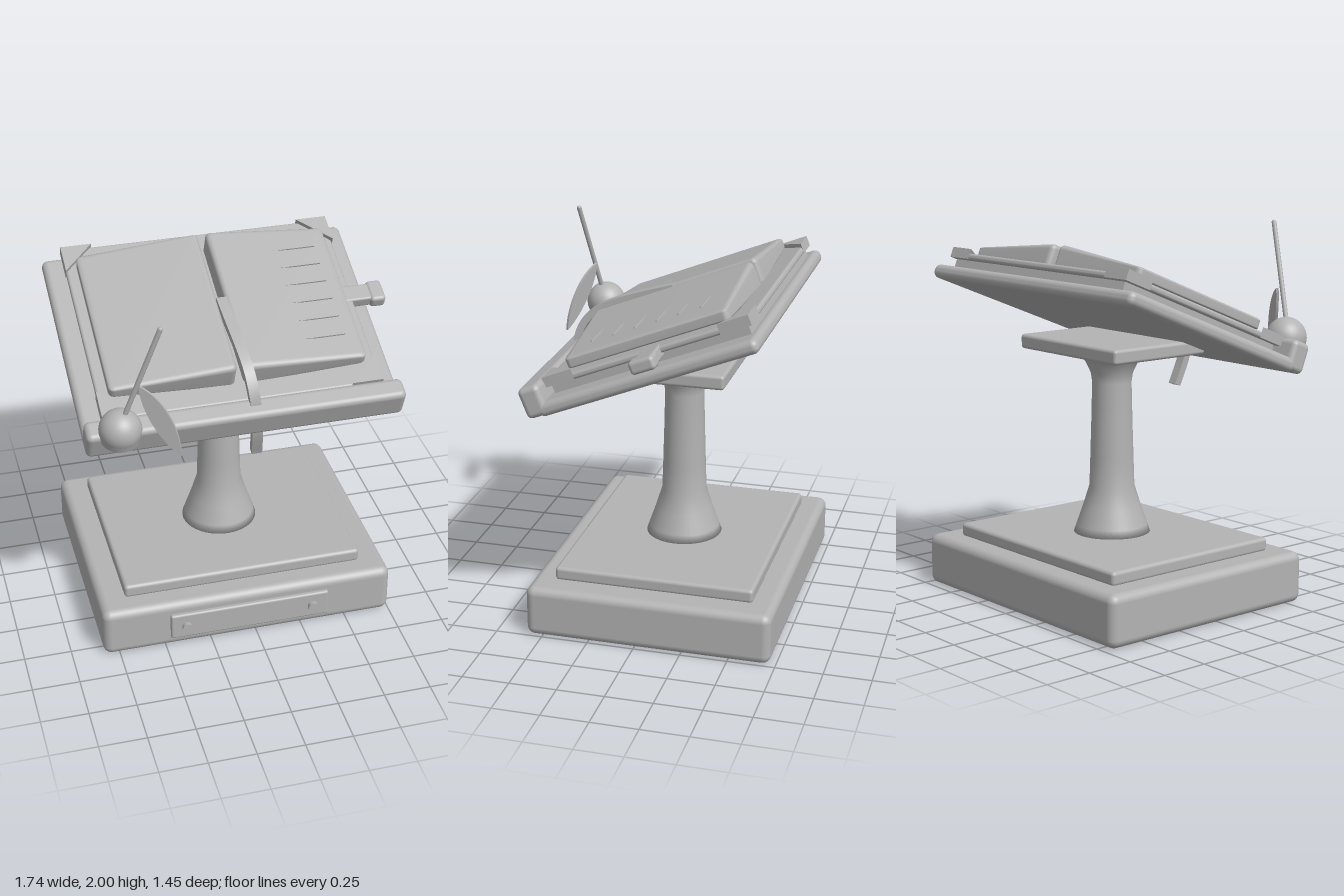
import * as THREE from 'three';
import { RoundedBoxGeometry } from 'three/addons/geometries/RoundedBoxGeometry.js';
import { mergeVertices } from 'three/addons/utils/BufferGeometryUtils.js';

const grey = new THREE.MeshStandardMaterial({ color: 0xb3b3b3 });
grey.name = 'plain grey';

function add(parent, name, geometry, x = 0, y = 0, z = 0) {
  const mesh = new THREE.Mesh(geometry, grey);
  mesh.name = name;
  mesh.position.set(x, y, z);
  parent.add(mesh);
  return mesh;
}

const rounded = (w, h, d, r) => new RoundedBoxGeometry(w, h, d, 3, r);

// Page block, thick at the spine and thin at the outer edge; side is -1 or 1
function pageBlock(side) {
  const w = 0.65, h = 0.16, d = 0.92;
  let g = rounded(w, h, d, 0.03);
  g.deleteAttribute('normal');
  g.deleteAttribute('uv');
  g = mergeVertices(g, 1e-4);
  const p = g.attributes.position;
  for (let i = 0; i < p.count; i++) {
    const outer = 0.5 + side * p.getX(i) / w;
    const up = 0.5 + p.getY(i) / h;
    const bottom = THREE.MathUtils.lerp(0.09, 0.125, outer);
    const top = THREE.MathUtils.lerp(0.25, 0.185, outer);
    p.setY(i, THREE.MathUtils.lerp(bottom, top, up));
    p.setZ(i, p.getZ(i) * (1 - 0.03 * outer));
  }
  g.computeVertexNormals();
  return g;
}

// Flat strip bent along a curve lying mostly in the yz plane
function strip(curve, width, thickness) {
  const g = new THREE.BoxGeometry(width, thickness, 1, 1, 1, 28);
  const p = g.attributes.position;
  for (let i = 0; i < p.count; i++) {
    const t = p.getZ(i) + 0.5;
    const c = curve.getPointAt(t), d = curve.getTangentAt(t);
    const n = new THREE.Vector3(0, d.z, -d.y).normalize().multiplyScalar(p.getY(i));
    p.setXYZ(i, c.x + p.getX(i), c.y + n.y, c.z + n.z);
  }
  g.computeVertexNormals();
  return g;
}

export function createModel() {
  const model = new THREE.Group();
  model.name = 'bookStand';
  const cx = -0.042, cz = -0.067;

  // Base with step and drawer
  add(model, 'base', rounded(1.585, 0.275, 1.31, 0.045), cx, 0.1425, cz);
  add(model, 'baseStep', rounded(1.3, 0.075, 1.065, 0.02), cx, 0.31, cz);
  add(model, 'drawerFront', rounded(0.87, 0.15, 0.05, 0.012), -0.04, 0.14, 0.585);
  for (const x of [-0.39, 0.305]) {
    const knob = add(model, 'drawerKnob', new THREE.CylinderGeometry(0.03, 0.026, 0.035, 20), x, 0.14, 0.621);
    knob.rotation.x = Math.PI / 2;
  }

  // Turned column and the plate on top of it
  const profile = [
    [0, 0.34], [0.207, 0.34], [0.19, 0.39], [0.155, 0.49], [0.121, 0.6], [0.116, 0.75],
    [0.11, 0.95], [0.105, 1.16], [0.112, 1.21], [0.14, 1.27], [0.175, 1.31], [0.195, 1.335], [0, 1.335],
  ].map(([r, y]) => new THREE.Vector2(r, y));
  add(model, 'column', new THREE.LatheGeometry(profile, 40), cx, 0, cz);
  add(model, 'topPlate', rounded(0.79, 0.078, 0.615, 0.018), cx, 1.362, cz);

  // Sloping desk
  const desk = new THREE.Group();
  desk.name = 'desk';
  desk.position.set(cx, 1.505, -0.075);
  desk.rotation.x = THREE.MathUtils.degToRad(21.8);
  model.add(desk);
  add(desk, 'board', rounded(1.655, 0.075, 1.2, 0.033), 0, 0, -0.005);
  add(desk, 'frontLedge', rounded(1.655, 0.165, 0.12, 0.03), 0, 0.053, 0.6);

  // Side clasp
  add(desk, 'claspBody', rounded(0.16, 0.062, 0.105, 0.012), 0.755, 0.09, -0.05);
  add(desk, 'claspHead', rounded(0.085, 0.07, 0.135, 0.02), 0.866, 0.09, -0.05);

  // Open book: cover, corner guards, page blocks
  add(desk, 'coverBacking', new THREE.BoxGeometry(1.4, 0.06, 1.08), 0, 0.06, -0.02);
  add(desk, 'cover', rounded(1.455, 0.036, 1.13, 0.015), 0, 0.1, -0.02);
  for (const sx of [-1, 1]) {
    for (const sz of [-1, 1]) {
      const guard = new THREE.Shape([[0, 0], [-0.165 * sx, 0], [0, -0.165 * sz]]
        .map(([x, y]) => new THREE.Vector2(x, y)));
      const g = new THREE.ExtrudeGeometry(guard, { depth: 0.055, bevelEnabled: false }).rotateX(Math.PI / 2);
      add(desk, 'cornerGuard', g, 0.73 * sx, 0.14, -0.02 + 0.565 * sz);
    }
    add(desk, 'pages', pageBlock(sx), sx * 0.346, 0, -0.025);
  }

  // Raised writing lines
  for (let i = 0; i < 6; i++) {
    const long = i === 2 ? 0.31 : 0.28;
    add(desk, 'writingLine', new THREE.BoxGeometry(long, 0.008, 0.008),
      0.587 - long / 2, 0.212, -0.325 + i * 0.121);
  }

  // Bookmark ribbon
  const ribbonPath = new THREE.CatmullRomCurve3([
    [-0.04, 1.73, -0.01], [-0.035, 1.68, 0.16], [-0.025, 1.62, 0.33], [-0.015, 1.555, 0.44],
    [-0.005, 1.47, 0.495], [0.005, 1.37, 0.512], [0.015, 1.24, 0.498], [0.027, 1.08, 0.44],
  ].map((p) => new THREE.Vector3(...p)));
  add(model, 'bookmarkRibbon', strip(ribbonPath, 0.055, 0.04), 0, 0, 0);

  // Ink pot: dome over a short band
  const pot = new THREE.Group();
  pot.name = 'inkPot';
  pot.position.set(-0.7, 1.41, 0.57);
  pot.rotation.x = 0.25;
  model.add(pot);
  add(pot, 'potDome', new THREE.SphereGeometry(0.108, 32, 20));
  add(pot, 'potBand', new THREE.CylinderGeometry(0.108, 0.1, 0.06, 32), 0, -0.03, 0);

  // Quill shaft and hanging feather
  const shaft = new THREE.LineCurve3(new THREE.Vector3(-0.69, 1.47, 0.585), new THREE.Vector3(-0.508, 1.995, 0.66));
  add(model, 'quillShaft', new THREE.TubeGeometry(shaft, 1, 0.013, 10));
  const tip = shaft.getPoint(1);
  add(model, 'quillEnd', new THREE.SphereGeometry(0.013, 10, 8), tip.x, tip.y, tip.z);

  const leaf = new THREE.Shape();
  leaf.moveTo(0, 0);
  leaf.bezierCurveTo(0.08, 0.1, 0.08, 0.28, 0, 0.415);
  leaf.bezierCurveTo(-0.055, 0.3, -0.06, 0.12, 0, 0);
  const feather = new THREE.ExtrudeGeometry(leaf, { depth: 0.014, bevelEnabled: false, curveSegments: 16 });
  const along = new THREE.Vector3(0.175, -0.35, 0.125).normalize();
  const across = new THREE.Vector3(0.75, 0.5, 0.35).normalize();
  const normal = new THREE.Vector3().crossVectors(across, along);
  feather.applyMatrix4(new THREE.Matrix4().makeBasis(across, along, normal));
  add(model, 'feather', feather, -0.61, 1.66, 0.6);

  return model;
}
